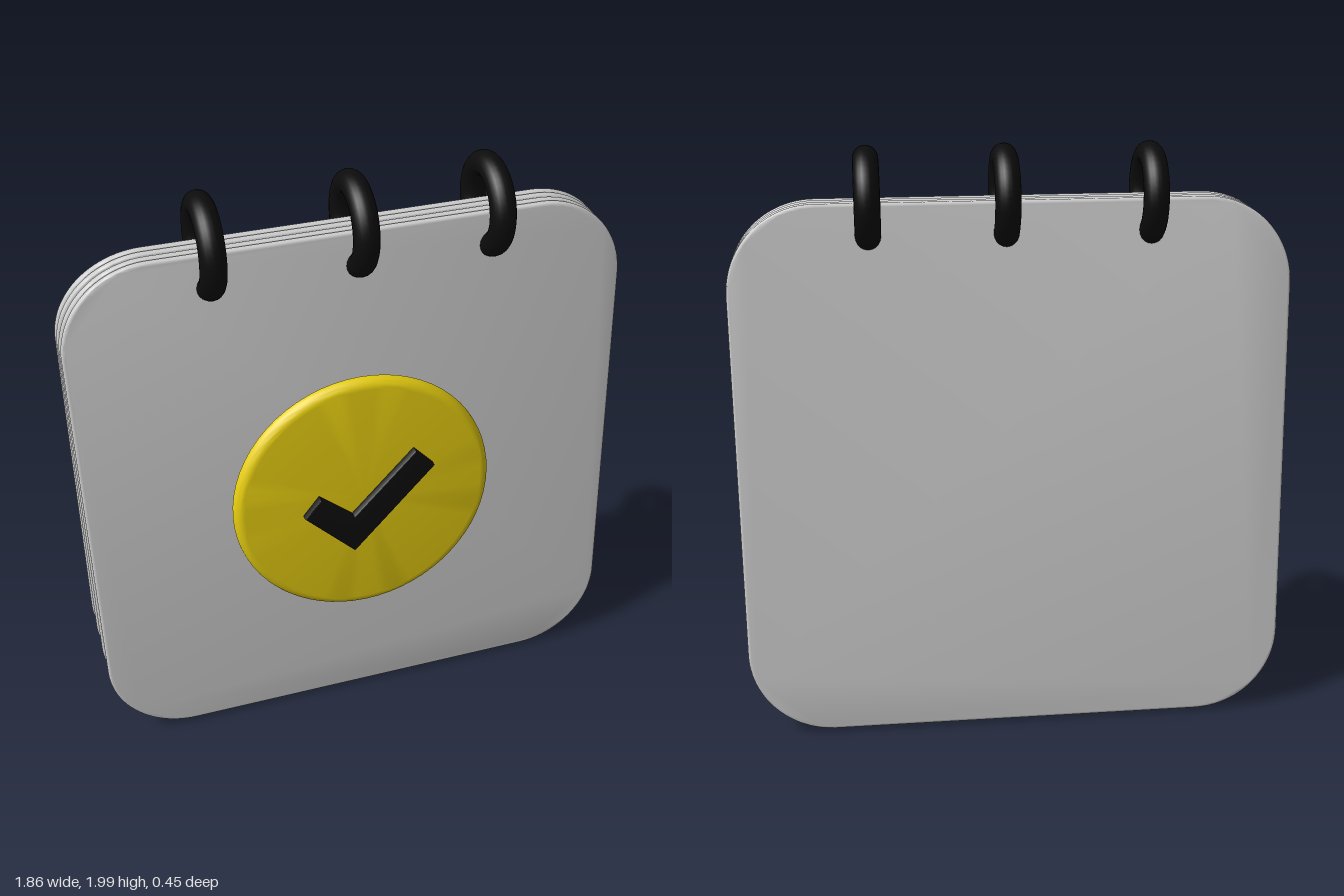
import * as THREE from 'three';
import { toCreasedNormals } from 'three/addons/utils/BufferGeometryUtils.js';

const grey = new THREE.MeshStandardMaterial({ color: 0xcccccc });
const black = new THREE.MeshStandardMaterial({ color: 0x0c0c0c });
const yellow = new THREE.MeshStandardMaterial({ color: 0xe6cd10 });

const TOP = 1.826, LENGTH = 1.82, WIDTH = 1.855, THICK = 0.026;

function named(name, geometry, material) {
  const mesh = new THREE.Mesh(geometry, material);
  mesh.name = name;
  return mesh;
}

// Extrusion with a rounded edge, centred on z = 0; the bevel stays inside the outline
function slab(shape, thickness, bevel, curveSegments = 12) {
  const geometry = new THREE.ExtrudeGeometry(shape, {
    depth: thickness - 2 * bevel, bevelEnabled: true, bevelThickness: bevel,
    bevelSize: bevel, bevelOffset: -bevel, bevelSegments: 4, curveSegments,
  });
  geometry.translate(0, 0, bevel - thickness / 2);
  return toCreasedNormals(geometry, 0.7);
}

// Rounded sheet hanging down from y = 0
function pageShape() {
  const w = WIDTH / 2, h = LENGTH, r = 0.29;
  const s = new THREE.Shape();
  s.absarc(w - r, -r, r, Math.PI / 2, 0, true);
  s.absarc(w - r, r - h, r, 0, -Math.PI / 2, true);
  s.absarc(r - w, r - h, r, -Math.PI / 2, -Math.PI, true);
  s.absarc(r - w, -r, r, Math.PI, Math.PI / 2, true);
  s.closePath();
  return s;
}

// Round badge with a soft front rim
function badgeGeometry(radius, depth, rim) {
  const profile = [new THREE.Vector2(0, 0), new THREE.Vector2(radius - rim * 0.4, 0)];
  for (let i = 0; i <= 8; i++) {
    const a = (i / 8) * Math.PI / 2;
    profile.push(new THREE.Vector2(radius - rim + rim * Math.cos(a), depth - rim + rim * Math.sin(a)));
  }
  profile.push(new THREE.Vector2(0, depth));
  const geometry = new THREE.LatheGeometry(profile, 64);
  geometry.rotateX(Math.PI / 2);
  return toCreasedNormals(geometry, 0.7);
}

export function createModel() {
  const model = new THREE.Group();
  model.name = 'deskCalendar';

  // Fanned pages: [z at the top, z at the bottom], front to back
  const pageGeometry = slab(pageShape(), THICK, 0.011);
  const fan = [[0.042, 0.192], [0.016, 0.038], [-0.016, -0.097], [-0.044, -0.211]];
  const pages = fan.map(([zTop, zBottom], i) => {
    const page = new THREE.Group();
    page.name = `page${i + 1}`;
    page.add(named('sheet', pageGeometry, grey));
    page.position.set(0, TOP, zTop);
    page.rotation.x = -Math.asin((zBottom - zTop) / LENGTH);
    model.add(page);
    return page;
  });

  // Badge on the front page
  const badge = named('badge', badgeGeometry(0.455, 0.055, 0.035), yellow);
  badge.position.set(0.008, -0.958, THICK / 2 - 0.001);
  pages[0].add(badge);

  // Check mark, raised above the badge
  const points = [[-0.212, 0.85], [-0.155, 0.918], [-0.04, 0.823], [0.182, 1.042], [0.25, 0.97], [-0.04, 0.68]];
  const outline = new THREE.Shape(points.map(([x, y]) => new THREE.Vector2(x, y - 0.875)));
  const check = named('checkMark', slab(outline, 0.04, 0.006), black);
  check.position.set(0, -0.958, 0.074);
  pages[0].add(check);

  // Binding rings
  const ringGeometry = new THREE.TorusGeometry(0.128, 0.042, 20, 48);
  ringGeometry.rotateY(Math.PI / 2);
  [-0.455, 0.022, 0.468].forEach((x, i) => {
    const ring = named(`ring${i + 1}`, ringGeometry, black);
    ring.position.set(x, 1.83, 0.007);
    model.add(ring);
  });

  return model;
}
